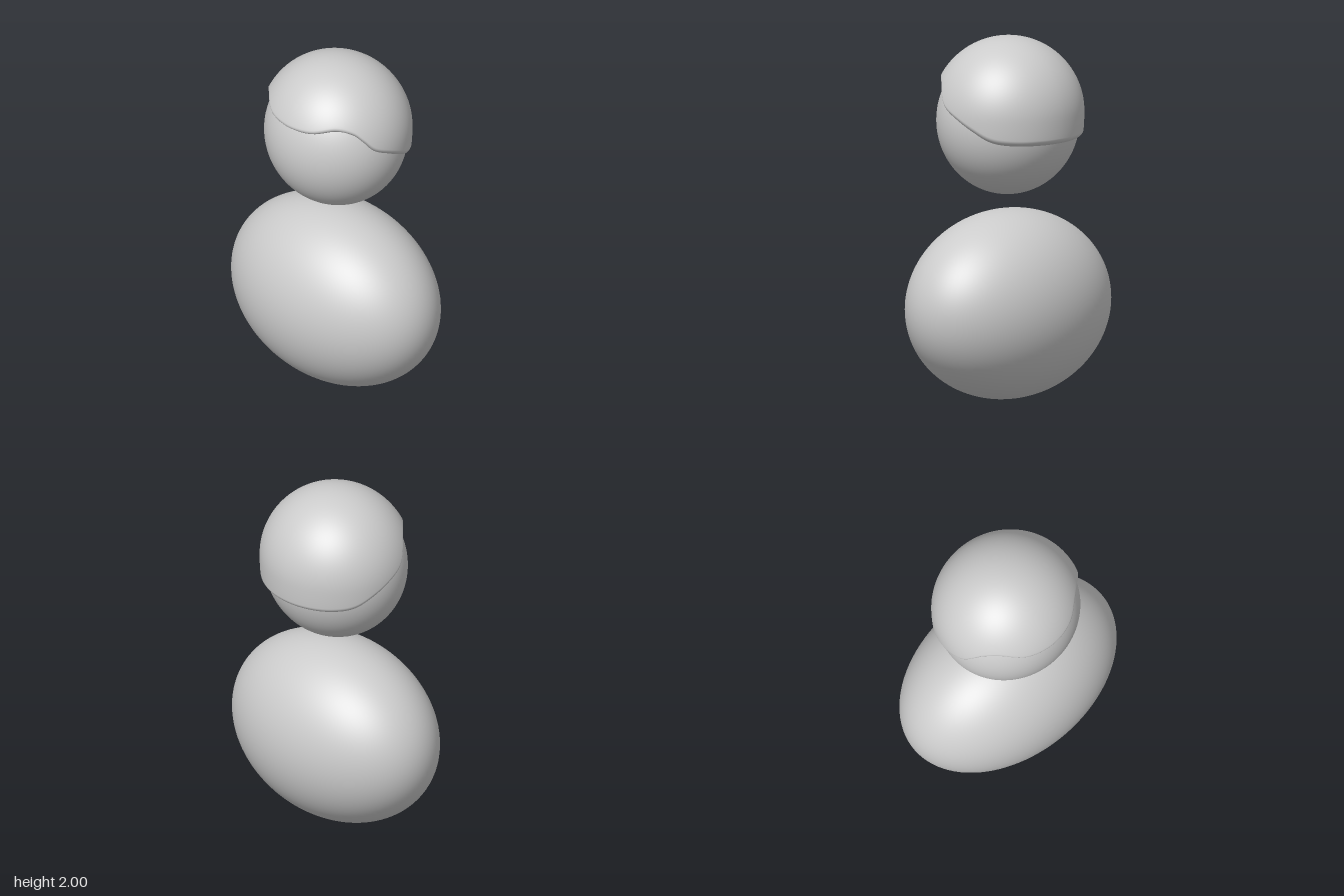
import * as THREE from 'three';

const material = new THREE.MeshStandardMaterial({ color: 0xcccccc, roughness: 0.8 });

function ellipsoid(name, y, rx, ry, rz) {
  const geometry = new THREE.SphereGeometry(1, 96, 64).scale(rx, ry, rz);
  const mesh = new THREE.Mesh(geometry, material);
  mesh.name = name;
  mesh.position.y = y;
  return mesh;
}

const HEAD = { y: 1.54, rx: 0.405, ry: 0.41, rz: 0.38 };
const HAIR = { y: 1.585, rx: 0.425, ry: 0.415, rz: 0.41, lowerRy: 0.7 };

// Hem of the hair: [degrees from the front, height], front to back
const HEM = [
  [0, 1.72], [22, 1.727], [43, 1.755], [58, 1.735], [67, 1.688], [76, 1.625],
  [90, 1.575], [104, 1.523], [120, 1.466], [138, 1.447], [160, 1.443], [180, 1.443],
];

// Horizontal scale of an ellipsoid at height y
const ring = (y, centre, ry) => Math.sqrt(Math.max(0, 1 - ((y - centre) / ry) ** 2));

// Cap of hair: columns run from the crown to the hem, then curl in to the head
function hairCap() {
  const half = new THREE.SplineCurve(HEM.map(([a, y]) => new THREE.Vector2(a, y))).getPoints(66);
  const mirrored = half.slice(1, -1).reverse().map(p => new THREE.Vector2(-p.x, p.y));
  const hem = [...half, ...mirrored];
  const cols = hem.length, shellRows = 40, lipRows = 10, lip = 0.035;
  const rows = shellRows + lipRows + 1;
  const positions = [], index = [];

  for (let i = 0; i < rows; i++) {
    for (const p of hem) {
      const a = THREE.MathUtils.degToRad(p.x);
      const phi = Math.max(0, (i - shellRows) / lipRows) * Math.PI / 2;
      const t = Math.min(1, i / shellRows);
      const top = HAIR.y + HAIR.ry;
      const y = i <= shellRows
        ? top - (top - p.y - lip) * t * t
        : p.y + lip * (1 - Math.sin(phi));
      const outer = ring(y, HAIR.y, y > HAIR.y ? HAIR.ry : HAIR.lowerRy);
      const inner = 0.96 * ring(y, HEAD.y, HEAD.ry);
      const k = i <= shellRows ? 1 : Math.cos(phi);
      positions.push(
        Math.sin(a) * THREE.MathUtils.lerp(inner * HEAD.rx, outer * HAIR.rx, k),
        y,
        Math.cos(a) * THREE.MathUtils.lerp(inner * HEAD.rz, outer * HAIR.rz, k),
      );
    }
  }
  for (let i = 0; i < rows - 1; i++) {
    for (let j = 0; j < cols; j++) {
      const n = (j + 1) % cols;
      const a = i * cols + j, b = a + cols, c = i * cols + n, d = c + cols;
      if (i > 0) index.push(a, b, c);
      index.push(b, d, c);
    }
  }
  const geometry = new THREE.BufferGeometry();
  geometry.setAttribute('position', new THREE.Float32BufferAttribute(positions, 3));
  geometry.setIndex(index);
  geometry.computeVertexNormals();
  // Smooth crown
  for (let j = 0; j < cols; j++) geometry.attributes.normal.setXYZ(j, 0, 1, 0);
  const mesh = new THREE.Mesh(geometry, material);
  mesh.name = 'hair';
  return mesh;
}

export function createModel() {
  const model = new THREE.Group();
  model.name = 'figure';
  model.add(
    ellipsoid('body', 0.5225, 0.67, 0.5225, 0.455),
    ellipsoid('head', HEAD.y, HEAD.rx, HEAD.ry, HEAD.rz),
    hairCap(),
  );
  return model;
}
